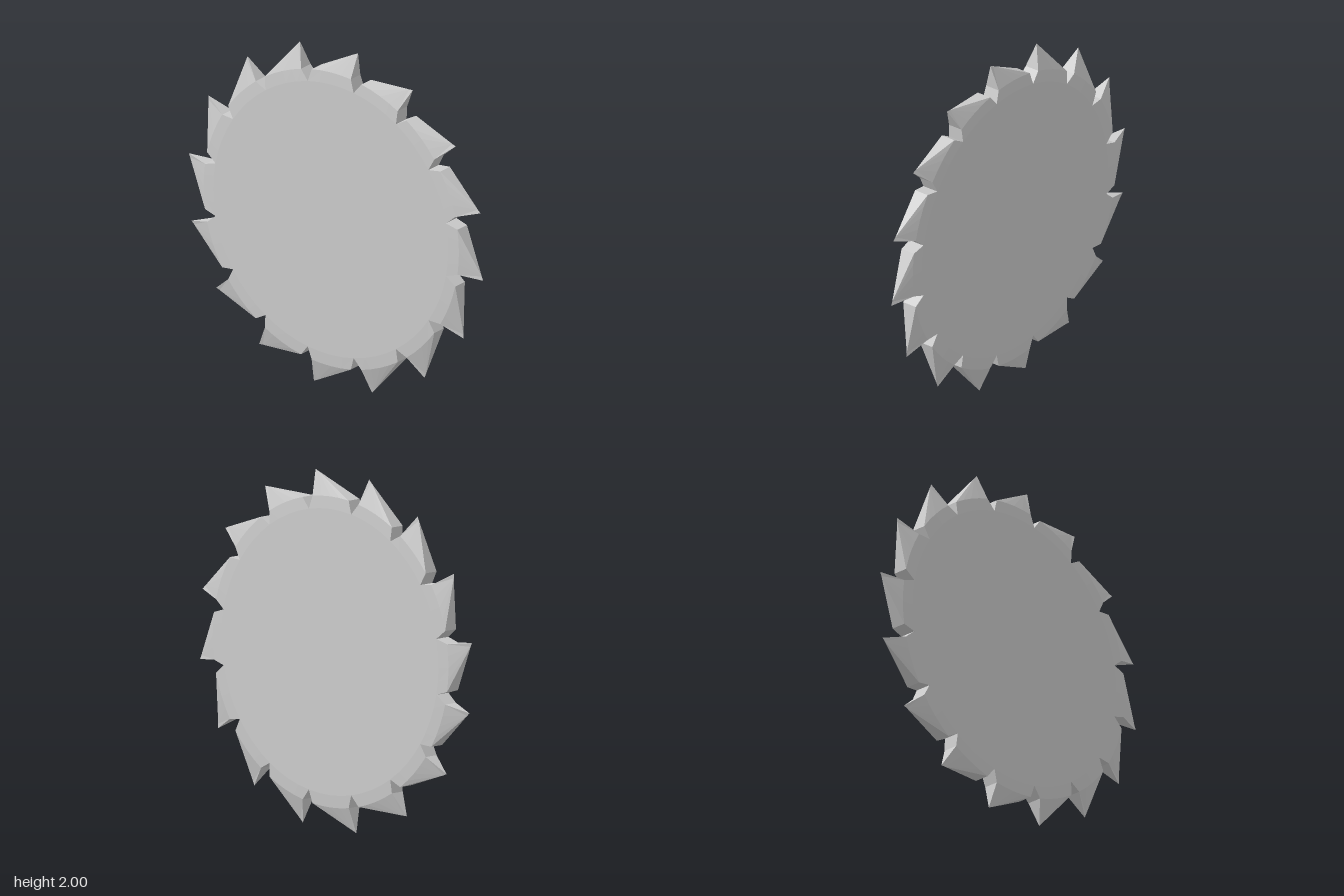
import * as THREE from 'three';

const TEETH = 16, STEPS = 4;
const HALF = 0.05, SHOULDER_HALF = 0.045;      // half thickness at the disc and at the tooth shoulder
const R_DISC = 0.798, R_SHOULDER = 0.867;
const A_NOTCH = Math.PI / TEETH, A_SHOULDER = 0.154;

// point at thickness x, radius r and angle a (from +y towards +z)
const polar = (x, r, a) => [x, r * Math.cos(a), r * Math.sin(a)];

// one raked tooth: bevelled root band, tapering sides, a cutting face and a sloping back
function toothGeometry() {
  const pos = [];
  const tri = (a, b, c) => pos.push(...a, ...b, ...c);
  const quad = (a, b, c, d) => { tri(a, b, c); tri(a, c, d); };
  const flip = ([x, y, z]) => [-x, y, z];
  const both = (a, b, c) => { tri(a, b, c); tri(flip(a), flip(c), flip(b)); };

  const tip = [0, 1.0, 0.15], tipBack = [0, 0.99, 0.127];
  const inner = [], outer = [];
  for (let i = 0; i <= STEPS; i++) {
    const t = (i / STEPS) * 2 - 1;
    inner.push(polar(HALF, R_DISC, t * A_NOTCH));
    outer.push(polar(SHOULDER_HALF, R_SHOULDER, t * A_SHOULDER));
  }
  // root band and tapering sides
  for (let i = 0; i < STEPS; i++) {
    both(inner[i], outer[i], outer[i + 1]);
    both(inner[i], outer[i + 1], inner[i + 1]);
    both(outer[i], tipBack, outer[i + 1]);
  }
  both(outer[STEPS], tipBack, tip);

  // sloping back with its gullet wall
  const i0 = inner[0], s0 = outer[0], i1 = inner[STEPS], s1 = outer[STEPS];
  tri(s0, flip(s0), tipBack);
  quad(i0, flip(i0), flip(s0), s0);
  // cutting face with its gullet wall
  tri(flip(s1), s1, tip);
  quad(flip(i1), i1, s1, flip(s1));

  const g = new THREE.BufferGeometry();
  g.setAttribute('position', new THREE.Float32BufferAttribute(pos, 3));
  g.computeVertexNormals();
  return g;
}

export function createModel() {
  const model = new THREE.Group();
  model.name = 'sawBlade';
  const material = new THREE.MeshStandardMaterial({ color: 0xcccccc, flatShading: true });

  // flat faces of the disc
  for (const side of [-1, 1]) {
    const face = new THREE.Mesh(new THREE.CircleGeometry(R_DISC, TEETH * STEPS), material);
    face.name = side > 0 ? 'leftDiscFace' : 'rightDiscFace';
    face.rotation.y = side * Math.PI / 2;
    face.position.set(side * HALF, 1, 0);
    model.add(face);
  }

  // ring of teeth
  const teeth = new THREE.Group();
  teeth.name = 'teeth';
  teeth.position.y = 1;
  const geometry = toothGeometry();
  for (let i = 0; i < TEETH; i++) {
    const tooth = new THREE.Mesh(geometry, material);
    tooth.name = 'tooth' + (i + 1);
    tooth.rotation.x = (i / TEETH) * Math.PI * 2;
    teeth.add(tooth);
  }
  model.add(teeth);
  return model;
}
